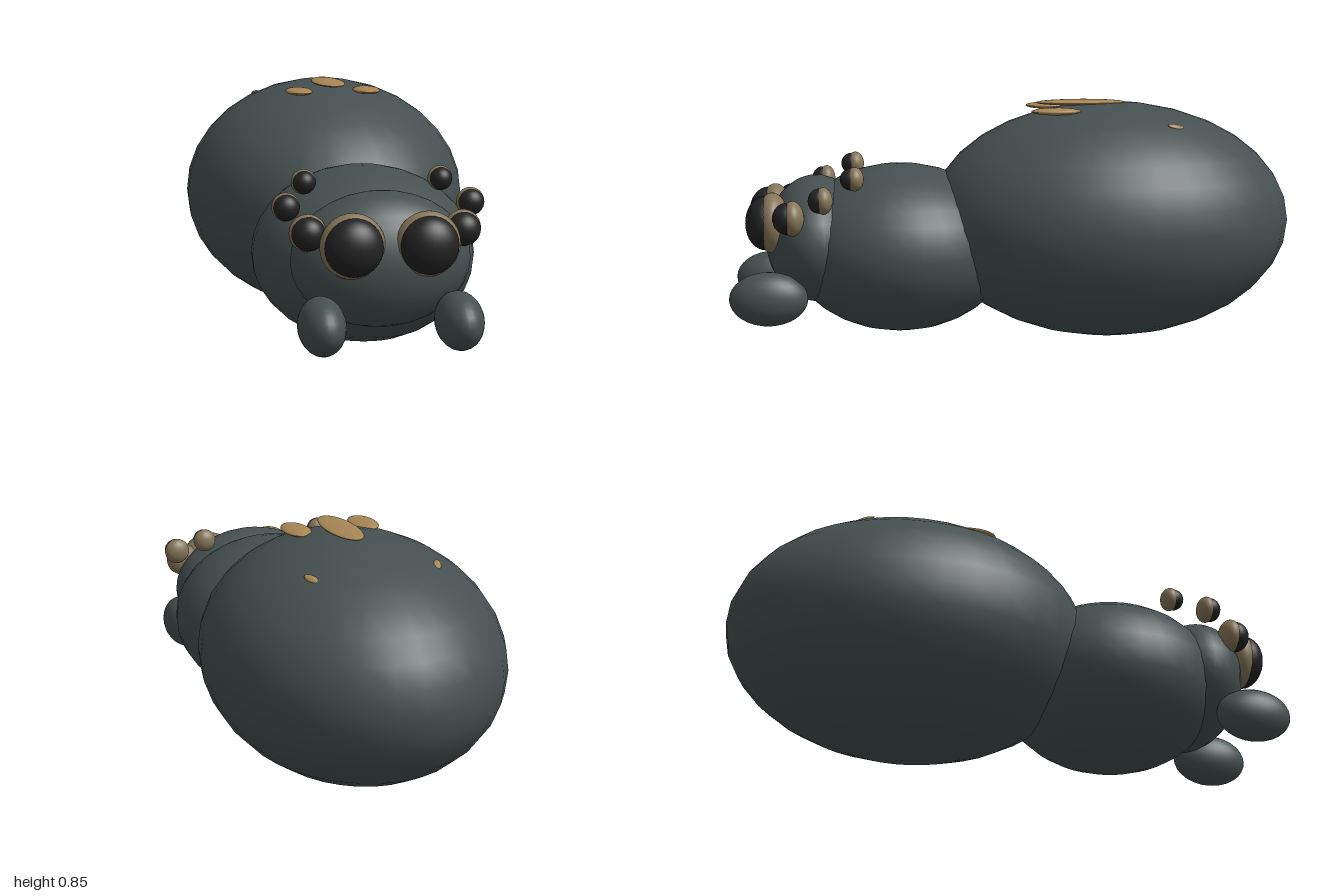
import * as THREE from 'three';

const material = (name, color) => {
  const m = new THREE.MeshStandardMaterial({ color });
  m.name = name;
  return m;
};

export function createModel() {
  const model = new THREE.Group();
  model.name = 'spider';
  const body = material('dark slate', 0x465050);
  const rim = material('eye rim tan', 0x857558);
  const lens = material('eye black', 0x222222);
  const spot = material('spot tan', 0xa88655);

  const ball = new THREE.SphereGeometry(1, 32, 16);

  // Ellipsoid from a centre and three radii
  const ellipsoid = (name, mat, centre, radii, parent = model) => {
    const mesh = new THREE.Mesh(ball, mat);
    mesh.name = name;
    mesh.position.set(...centre);
    mesh.scale.set(...radii);
    parent.add(mesh);
    return mesh;
  };

  // Body
  ellipsoid('abdomen', body, [0, 0.425, -0.35], [0.512, 0.422, 0.65]);
  ellipsoid('thorax', body, [0, 0.33, 0.4], [0.38, 0.3, 0.4]);
  ellipsoid('head', body, [0, 0.365, 0.7], [0.3, 0.225, 0.18]);

  // Eyes: x, y, rim [z, radius, depth], lens [z, radius, depth]
  const eyes = [
    ['mainEye', 0.123, 0.438, [0.85, 0.107, 0.06], [0.877, 0.095, 0.068]],
    ['sideEye', 0.255, 0.472, [0.775, 0.061, 0.04], [0.795, 0.055, 0.05]],
    ['upperEye', 0.308, 0.54, [0.667, 0.047, 0.032], [0.682, 0.043, 0.038]],
    ['rearEye', 0.231, 0.604, [0.56, 0.042, 0.032], [0.573, 0.038, 0.038]],
  ];

  for (const [side, s] of [['left', 1], ['right', -1]]) {
    for (const [name, x, y, [rz, rr, rd], [lz, lr, ld]] of eyes) {
      const eye = new THREE.Group();
      eye.name = `${side} ${name}`;
      ellipsoid('eyeRim', rim, [s * x, y, rz], [rr, rr, rd], eye);
      ellipsoid('eyeLens', lens, [s * x, y, lz], [lr, lr, ld], eye);
      model.add(eye);
    }

    // Feelers below the face
    ellipsoid(`${side} palp`, body, [s * 0.225, 0.185, 0.863], [0.077, 0.095, 0.137]);

    // Paired markings on the abdomen
    ellipsoid(`${side} frontSpot`, spot, [s * 0.125, 0.824, -0.15], [0.048, 0.013, 0.088]);
    const small = ellipsoid(`${side} rearSpot`, spot, [s * 0.225, 0.777, -0.56], [0.014, 0.007, 0.032]);
    small.rotation.set(-0.2, s * 0.4, -s * 0.35);
  }

  // Long marking on the midline
  ellipsoid('centreSpot', spot, [0, 0.845, -0.25], [0.057, 0.011, 0.162]);

  return model;
}
